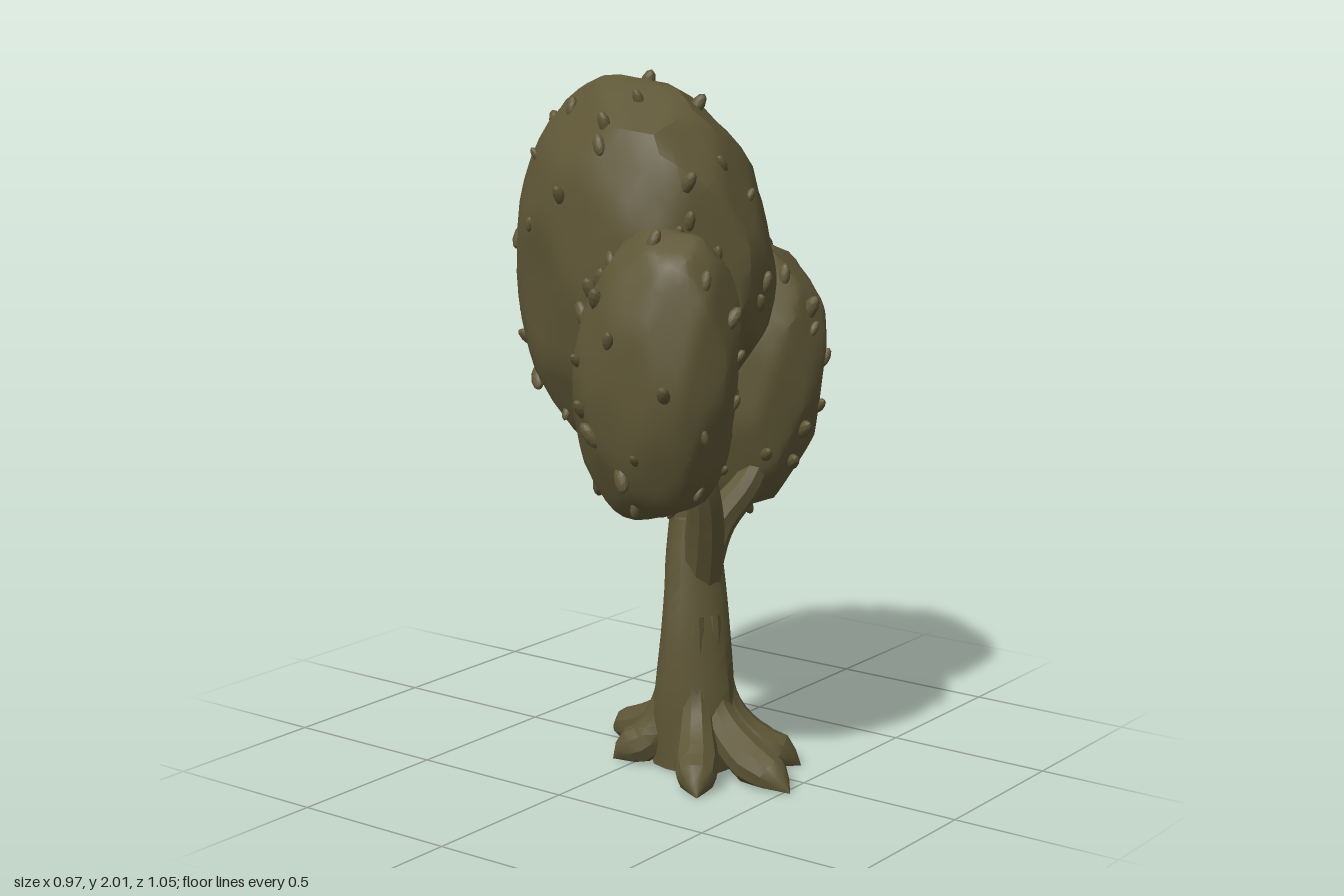
import * as THREE from 'three';
import { mergeVertices, mergeGeometries, toCreasedNormals } from 'three/addons/utils/BufferGeometryUtils.js';

const V = (x, y, z) => new THREE.Vector3(x, y, z);

function seeded(seed) {
  let s = seed;
  return () => (s = (s * 16807) % 2147483647) / 2147483647;
}

function crease(geo, angle) {
  geo.deleteAttribute('uv');
  geo.deleteAttribute('normal');
  return toCreasedNormals(mergeVertices(geo, 1e-4), angle);
}

// Tapered limb along a smooth path, flat on the ground; the last ring closes to a point
function limb(points, radii, sides = 9, lumps = 0) {
  const steps = 16;
  const curve = new THREE.CatmullRomCurve3(points);
  const geo = new THREE.TubeGeometry(curve, steps, 1, sides, false);
  const p = geo.attributes.position, v = V(0, 0, 0);
  for (let i = 0; i <= steps; i++) {
    const t = i / steps, c = curve.getPointAt(t);
    const u = curve.getUtoTmapping(t) * (radii.length - 1);
    const k = Math.min(Math.floor(u), radii.length - 2);
    const r = i === steps ? 0 : THREE.MathUtils.lerp(radii[k], radii[k + 1], u - k);
    for (let j = 0; j <= sides; j++) {
      const n = i * (sides + 1) + j;
      const a = (j % sides) / sides * Math.PI * 2;
      v.fromBufferAttribute(p, n).sub(c).multiplyScalar(r * (1 + lumps * Math.sin(3 * a + 5 * t))).add(c);
      p.setXYZ(n, v.x, Math.max(0, v.y), v.z);
    }
  }
  return crease(geo, 0.6);
}

// Faceted egg: a ball trimmed by uneven planes, then stretched by a rule
function crownSurface(seed, place) {
  const rnd = seeded(seed), planes = [];
  for (let i = 0; i < 46; i++) {
    const y = 1 - 2 * (i + 0.5) / 46, a = i * 2.39996 + rnd() * 0.5, s = Math.sqrt(1 - y * y);
    planes.push([V(Math.cos(a) * s, y, Math.sin(a) * s), 0.93 + 0.07 * rnd()]);
  }
  return d => {
    let r = 1.02;
    for (const [n, dist] of planes) {
      const k = d.dot(n);
      if (k > 0.5) r = Math.min(r, dist / k);
    }
    return place(d.clone().multiplyScalar(r));
  };
}

function crownGeometry(surface) {
  const geo = new THREE.IcosahedronGeometry(1, 9);
  const p = geo.attributes.position, v = V(0, 0, 0);
  for (let i = 0; i < p.count; i++) {
    const q = surface(v.fromBufferAttribute(p, i).normalize());
    p.setXYZ(i, q.x, q.y, q.z);
  }
  return crease(geo, 0.45);
}

// Small leaf knobs scattered over a crown
function knobGeometry(surface, centre, count, seed) {
  const rnd = seeded(seed), parts = [];
  for (let i = 0; i < count; i++) {
    const y = 1 - 2 * (i + 0.5) / count, a = i * 2.39996 + rnd() * 1.3, s = Math.sqrt(1 - y * y);
    const pos = surface(V(Math.cos(a) * s, y, Math.sin(a) * s));
    const out = pos.clone().sub(centre).normalize();
    const dir = out.clone().multiplyScalar(0.35)
      .add(V(rnd() - 0.5, y < -0.7 ? -0.6 : 0.7, rnd() - 0.5)).normalize();
    const size = 0.65 + 0.6 * rnd();
    const geo = crease(new THREE.IcosahedronGeometry(1, 1), 0.5);
    geo.scale(0.015 * size, 0.036 * size, 0.019 * size);
    geo.applyQuaternion(new THREE.Quaternion().setFromUnitVectors(V(0, 1, 0), dir));
    geo.translate(pos.x, pos.y, pos.z);
    parts.push(geo);
  }
  return mergeGeometries(parts);
}

// Fuller, slightly boxy egg for the side crowns
const full = x => Math.sign(x) * Math.pow(Math.abs(x), 0.9);

export function createModel() {
  const model = new THREE.Group();
  model.name = 'tree';
  const olive = new THREE.MeshStandardMaterial({ color: 0x5e5636 });
  olive.name = 'olive';
  const add = (name, geo) => {
    const mesh = new THREE.Mesh(geo, olive);
    mesh.name = name;
    model.add(mesh);
    return mesh;
  };

  // Trunk and its flat underside
  add('trunk', limb(
    [V(-0.025, 0, 0.135), V(-0.03, 0.2, 0.135), V(-0.028, 0.4, 0.13), V(-0.008, 0.6, 0.11), V(0, 0.78, 0.1)],
    [0.125, 0.118, 0.1, 0.086, 0.06], 14, 0.06));
  const base = add('trunkBase', new THREE.CircleGeometry(0.125, 14));
  base.rotation.x = Math.PI / 2;
  base.position.set(-0.025, 0.001, 0.135);

  // Low, broad roots spreading from the trunk foot
  const foot = V(-0.025, 0, 0.135);
  const tips = [[-0.29, 0.33], [-0.1, 0.52], [0.12, 0.41], [0.21, -0.04], [0.05, -0.23], [-0.16, -0.07]];
  tips.forEach(([x, z], i) => {
    const tip = V(x, 0, z), dir = tip.clone().sub(foot).normalize();
    const near = (d, y) => foot.clone().addScaledVector(dir, d).setY(y);
    const mid = f => foot.clone().lerp(tip, f);
    add('root' + (i + 1), limb(
      [near(0.07, 0.46), near(0.085, 0.18), mid(0.57).setY(0.06), mid(0.8).setY(0.035), tip],
      [0.022, 0.048, 0.066, 0.056, 0.006], 10));
  });

  // Branches
  add('rightBranch', limb([V(0, 0.52, 0.13), V(-0.06, 0.72, 0.19), V(-0.115, 0.86, 0.22), V(-0.19, 1.08, 0.2)],
    [0.065, 0.057, 0.044, 0.028]));
  add('leftBranch', limb([V(0.005, 0.52, 0.11), V(0.09, 0.69, 0.12), V(0.165, 0.81, 0.18), V(0.25, 1.0, 0.23)],
    [0.065, 0.056, 0.046, 0.022]));
  add('middleBranch', limb([V(0, 0.6, 0.11), V(-0.01, 0.8, 0.09), V(-0.01, 1.0, 0.06), V(0, 1.35, 0)],
    [0.07, 0.052, 0.046, 0.05]));
  for (const side of [-1, 1]) {
    add(side < 0 ? 'rightFork' : 'leftFork', limb(
      [V(0, 0.82, 0.08), V(side * 0.035, 0.95, 0.08), V(side * 0.08, 1.12, 0.07), V(side * 0.12, 1.35, 0.04)],
      [0.03, 0.03, 0.028, 0.025], 7));
  }

  // Crowns: the large one leans back and has an obliquely cut underside
  const crowns = [
    { name: 'topCrown', seed: 11, knobs: 58, centre: V(0.01, 1.45, -0.09), place: d => {
      const low = Math.max(0, -d.y), front = Math.max(0, d.z);
      const z = -0.088 + 0.432 * d.z - 0.055 * low * low;
      const taper = (1 + 0.1 * d.z) * (1 - 0.55 * low * front);
      return V(0.01 + 0.297 * d.x * taper - 0.03 * d.z - 0.03 * Math.max(0, d.y),
        Math.max(1.445 + 0.555 * d.y, 0.9 + 0.9 * Math.max(0, z + 0.08)), z);
    } },
    { name: 'rightCrown', seed: 23, knobs: 38, centre: V(-0.3, 1.2, 0.195), place: d =>
      V(-0.297 + 0.182 * full(d.x) + 0.02 * d.y * d.y, 1.2 + 0.42 * full(d.y), 0.195 + 0.247 * full(d.z) + 0.03 * d.y) },
    { name: 'leftCrown', seed: 37, knobs: 38, centre: V(0.29, 1.09, 0.075), place: d =>
      V(0.286 + 0.19 * full(d.x) + 0.03 * d.y, 1.095 + 0.4 * full(d.y), 0.075 + 0.262 * full(d.z) + 0.03 * d.y) },
  ];
  for (const c of crowns) {
    const surface = crownSurface(c.seed, c.place);
    add(c.name, crownGeometry(surface));
    add(c.name + 'Knobs', knobGeometry(surface, c.centre, c.knobs, c.seed + 100));
  }
  return model;
}
